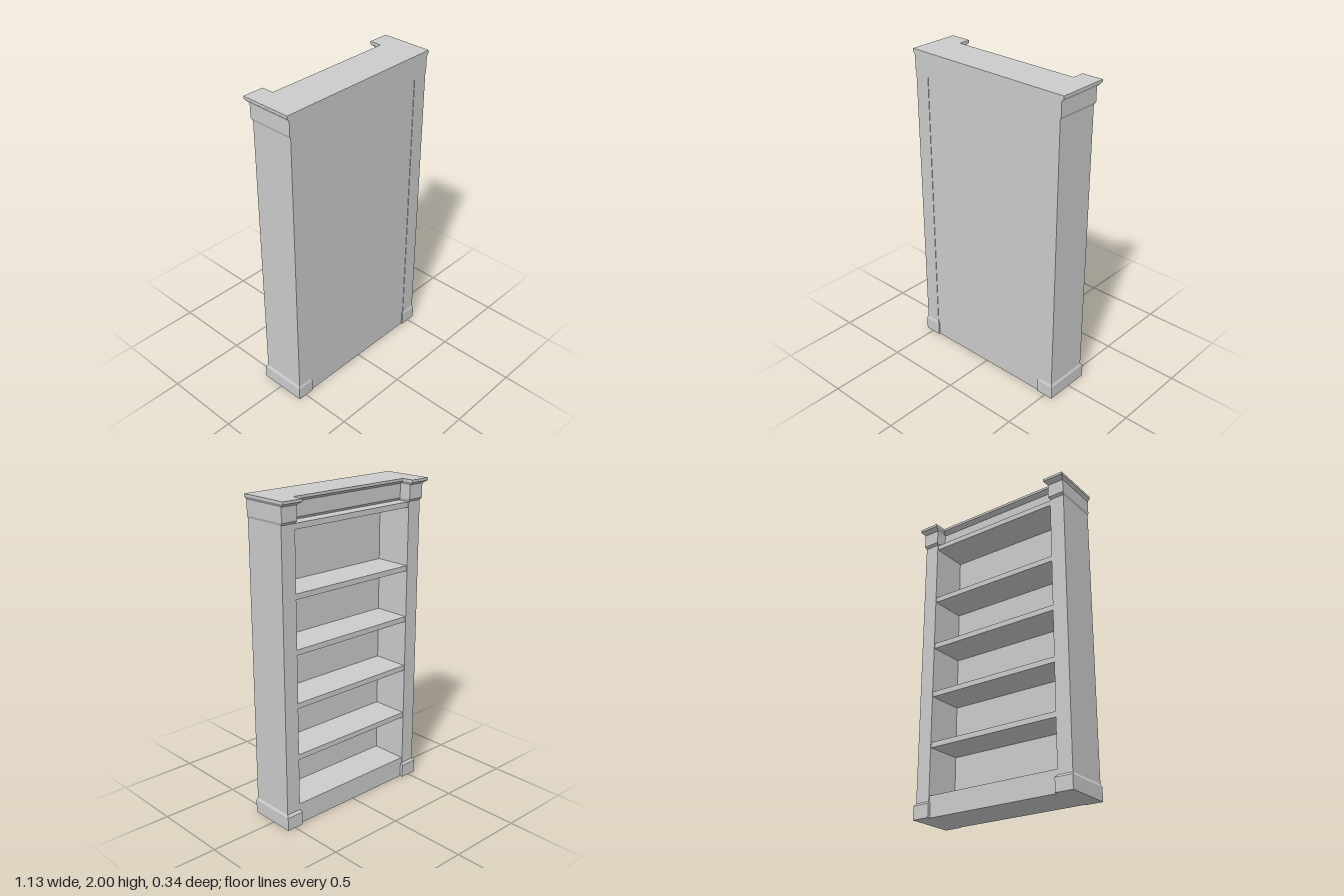
import * as THREE from 'three';

const material = new THREE.MeshStandardMaterial({ color: 0xcccccc, flatShading: true });

// Solid through stacked outlines; each level is { y, pts: [[x, z], ...] }, counterclockwise from above
function stack(levels) {
  const pos = [];
  const put = (level, i) => pos.push(level.pts[i][0], level.y, level.pts[i][1]);
  const n = levels[0].pts.length;
  for (let k = 0; k < levels.length - 1; k++) {
    const lo = levels[k], hi = levels[k + 1];
    for (let i = 0; i < n; i++) {
      const j = (i + 1) % n;
      put(lo, i); put(lo, j); put(hi, j);
      put(lo, i); put(hi, j); put(hi, i);
    }
  }
  const top = levels[levels.length - 1], bottom = levels[0];
  const cap = (level) => THREE.ShapeUtils.triangulateShape(
    level.pts.map(([x, z]) => new THREE.Vector2(x, -z)), []);
  for (const [a, b, c] of cap(top)) { put(top, a); put(top, b); put(top, c); }
  for (const [a, b, c] of cap(bottom)) { put(bottom, a); put(bottom, c); put(bottom, b); }
  const g = new THREE.BufferGeometry();
  g.setAttribute('position', new THREE.Float32BufferAttribute(pos, 3));
  g.computeVertexNormals();
  return g;
}

const rect = (x0, x1, z0, z1) => [[x1, z1], [x1, z0], [x0, z0], [x0, z1]];

export function createModel() {
  const model = new THREE.Group();
  const add = (name, geometry) => {
    const mesh = new THREE.Mesh(geometry, material);
    mesh.name = name;
    model.add(mesh);
  };
  const box = (name, x0, x1, y0, y1, z0, z1) => add(name,
    new THREE.BoxGeometry(x1 - x0, y1 - y0, z1 - z0)
      .translate((x0 + x1) / 2, (y0 + y1) / 2, (z0 + z1) / 2));

  const inner = 0.45, outer = 0.547, wall = 0.163, face = -0.125, shelfEdge = -0.12;

  // Side posts with chamfered plinth blocks
  for (const s of [-1, 1]) {
    const side = s > 0 ? 'left' : 'right';
    const span = (a, b) => (s > 0 ? [a, b] : [-b, -a]);
    box(side + 'Post', ...span(inner, outer), 0, 1.862, face, wall);
    const foot = rect(...span(0.441, 0.555), -0.139, 0.169);
    add(side + 'PlinthBlock', stack([
      { y: 0, pts: foot },
      { y: 0.085, pts: foot },
      { y: 0.1, pts: rect(...span(inner, outer), face, wall) },
    ]));
  }

  // Panel closing the case, slightly recessed between the posts
  box('panel', -inner, inner, 0, 1.862, 0.118, 0.16);

  // Bottom board with its kick face, and the evenly spaced shelves
  box('bottomBoard', -inner, inner, 0, 0.135, shelfEdge, 0.118);
  for (let i = 1; i <= 4; i++) {
    const y = 0.135 + i * 0.332;
    box('shelf' + i, -inner, inner, y - 0.034, y, shelfEdge, 0.118);
  }
  box('topBoard', -inner, inner, 1.827, 1.861, shelfEdge, 0.118);

  // Crown moulding: one profile following the posts and the recessed frieze
  const crownOutline = (dx, dz) => {
    const half = [
      [outer + dx, wall], [outer + dx, face - dz],
      [inner - dx, face - dz], [inner - dx, -0.046 - dz],
    ];
    return [...half, ...half.map(([x, z]) => [-x, z]).reverse()];
  };
  const crownProfile = [
    [1.862, 0, 0], [1.877, 0.006, 0.012], [1.965, 0.006, 0.012],
    [1.984, 0.02, 0.043], [2, 0.02, 0.043],
  ];
  add('crown', stack(crownProfile.map(([y, dx, dz]) => ({ y, pts: crownOutline(dx, dz) }))));

  return model;
}
